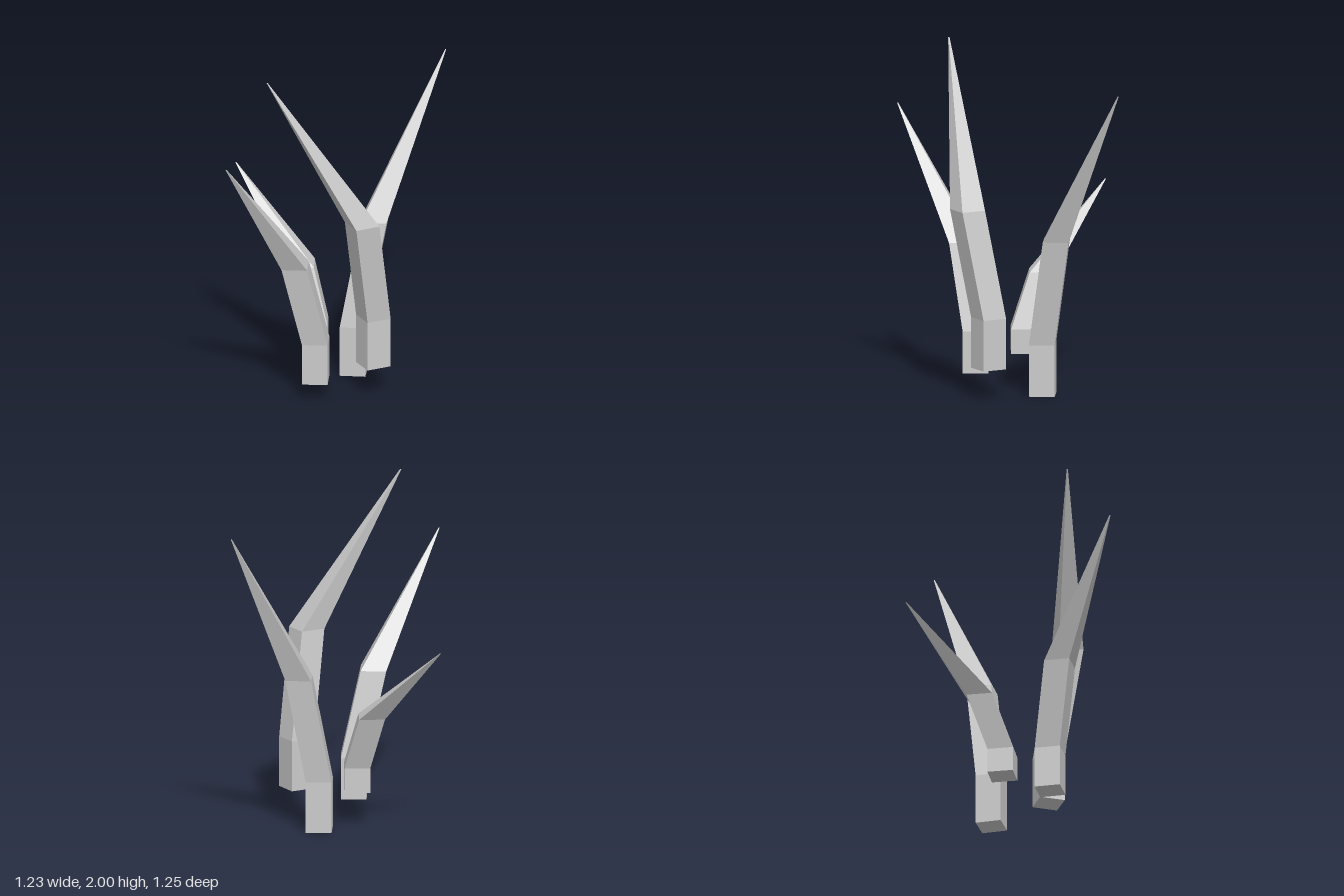
import * as THREE from 'three';

const SIDE = 0.148;

// Four-sided blade lofted through horizontal square rings: [x, y, z, scale]
function bladeGeometry(rings, turn) {
  const loops = rings.map(([x, y, z, scale]) =>
    [0, 1, 2, 3].map((i) => {
      const a = turn + Math.PI / 4 + (i * Math.PI) / 2;
      const r = SIDE * Math.SQRT1_2 * scale;
      return [x + r * Math.cos(a), y, z + r * Math.sin(a)];
    })
  );
  const pos = [];
  const quad = (a, b, c, d) => pos.push(...a, ...b, ...c, ...a, ...c, ...d);
  for (let k = 0; k < loops.length - 1; k++) {
    const lo = loops[k], hi = loops[k + 1];
    for (let i = 0; i < 4; i++) {
      const j = (i + 1) % 4;
      quad(lo[i], hi[i], hi[j], lo[j]);
    }
  }
  quad(...loops[0]); // base
  quad(...[...loops[loops.length - 1]].reverse()); // tip
  const g = new THREE.BufferGeometry();
  g.setAttribute('position', new THREE.Float32BufferAttribute(pos, 3));
  g.computeVertexNormals();
  return g;
}

export function createModel() {
  const group = new THREE.Group();
  group.name = 'grassTuft';
  const material = new THREE.MeshStandardMaterial({ color: 0xcccccc, flatShading: true });

  // base: ring centre x, z; y: base, lower bend, upper bend; lean: shift at the upper bend
  const blades = [
    { name: 'frontLeftBlade', base: [0.216, 0.115], y: [0.175, 0.47, 1.09], lean: [-0.061, 0.12], tip: [-0.387, 2.0, 0.333], turn: -0.49 },
    { name: 'frontRightBlade', base: [-0.114, 0.183], y: [0.1, 0.345, 0.84], lean: [-0.115, 0.076], tip: [-0.615, 1.577, 0.623], turn: 0.04 },
    { name: 'backLeftBlade', base: [0.095, -0.197], y: [0, 0.3, 0.92], lean: [0.119, -0.077], tip: [0.611, 1.832, -0.623], turn: 0.08 },
    { name: 'backRightBlade', base: [-0.125, -0.093], y: [0.21, 0.355, 0.67], lean: [-0.081, -0.107], tip: [-0.592, 1.136, -0.57], turn: 0 },
  ];

  for (const { name, base: [x, z], y, lean, tip, turn } of blades) {
    const rings = [
      [x, y[0], z, 1],
      [x, y[1], z, 1],
      [x + lean[0], y[2], z + lean[1], 1],
      [...tip, 0.04],
    ];
    const mesh = new THREE.Mesh(bladeGeometry(rings, turn), material);
    mesh.name = name;
    group.add(mesh);
  }
  return group;
}
